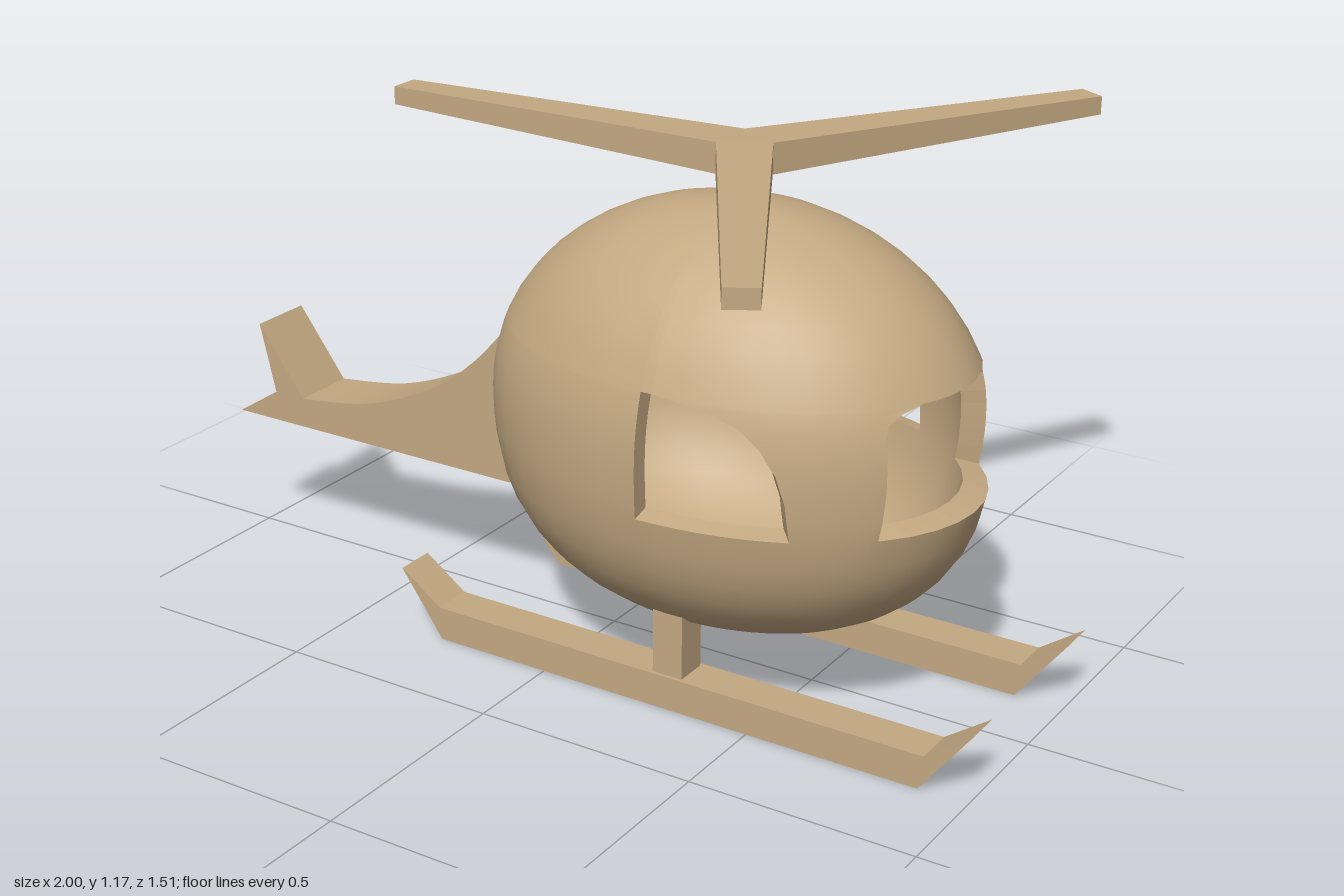
import * as THREE from 'three';

const tan = new THREE.MeshStandardMaterial({ color: 0xc4a982 });
tan.name = 'tan';

const CX = 0.305, CY = 0.59, RX = 0.555, RY = 0.45, RZ = 0.4; // cabin ellipsoid
const INNER = 0.9;        // inner wall scale
const SILL = 0.48, LINTEL = 0.745;

// Horizontal scale of the cabin at height y; the belly is a little fuller than the roof
const bulge = (y) => (y < CY ? 2.5 : 2);
function ringScale(y) {
  const n = bulge(y), t = Math.min(1, Math.abs(y - CY) / RY);
  return Math.pow(1 - Math.pow(t, n), 1 / n);
}

// Piecewise linear lookup in [y, value] pairs
function lookup(table, y) {
  for (let i = 1; i < table.length; i++) {
    const [y0, v0] = table[i - 1], [y1, v1] = table[i];
    if (y <= y1) return v0 + (v1 - v0) * (y - y0) / (y1 - y0);
  }
  return table[table.length - 1][1];
}
// Half width of the windscreen and front edge of the side windows
const screenEdge = [[0.48, 0.225], [0.62, 0.22], [0.69, 0.213], [0.715, 0.203], [0.733, 0.175], [0.745, 0.13]];
const sideEdge = [[0.48, 0.615], [0.56, 0.608], [0.62, 0.59], [0.67, 0.557], [0.705, 0.515], [0.725, 0.465], [0.738, 0.395], [0.745, 0.33]];

// Angles round the cabin for one row, running along the window edges
const COLS = [4, 9, 7, 20, 7, 9, 4];
function rowAngles(y) {
  const w = Math.min(LINTEL, Math.max(SILL, y)), r = ringScale(w);
  const a = Math.asin(lookup(screenEdge, w) / (RZ * r));
  const b = Math.acos((lookup(sideEdge, w) - CX) / (RX * r));
  const c = Math.PI / 2, T = Math.PI * 2;
  const keys = [0, a, b, c, T - c, T - b, T - a, T];
  const out = [];
  COLS.forEach((n, k) => {
    for (let i = 0; i < n; i++) out.push(keys[k] + (keys[k + 1] - keys[k]) * i / n);
  });
  return out;
}
const isWindowColumn = COLS.flatMap((n, k) => Array(n).fill(k % 2 === 0));
for (let j = 20; j < 40; j++) isWindowColumn[j] = false;

function rowHeights() {
  const ys = [], N = 10;
  const lo = Math.asin(Math.pow((CY - SILL) / RY, 1.25));
  const hi = Math.asin((LINTEL - CY) / RY);
  for (let i = 0; i < N; i++) {
    const th = Math.PI / 2 + (lo - Math.PI / 2) * i / N;
    ys.push(CY - RY * Math.pow(Math.sin(th), 0.8));
  }
  ys.push(SILL, 0.52, 0.56, 0.59, 0.62, 0.65, 0.67, 0.69, 0.705, 0.715, 0.725, 0.733, 0.738);
  for (let i = 0; i <= N; i++) ys.push(CY + RY * Math.sin(hi + (Math.PI / 2 - hi) * i / N));
  return ys;
}

// Hollow cabin: outer wall, inner wall and window reveals
function buildCabin() {
  const ys = rowHeights(), M = isWindowColumn.length, R = ys.length;
  const outer = [], inner = [];
  for (const y of ys) {
    const r = ringScale(y);
    for (const p of rowAngles(y)) {
      const d = [RX * r * Math.cos(p), y - CY, RZ * r * Math.sin(p)];
      outer.push(CX + d[0], CY + d[1], d[2]);
      inner.push(CX + d[0] * INNER, CY + d[1] * INNER, d[2] * INNER);
    }
  }
  const id = (i, j) => (i === 0 || i === R - 1 ? i * M : i * M + ((j + M) % M));
  const isHole = (i, j) => isWindowColumn[(j + M) % M] && ys[i] > SILL - 0.001 && ys[i] < LINTEL - 0.001;
  const outIdx = [], inIdx = [], reveal = [];
  const tri = (a, b, c) => {
    if (a === b || b === c || a === c) return;
    outIdx.push(a, b, c);
    inIdx.push(a, c, b);
  };
  const at = (arr, k) => arr.slice(k * 3, k * 3 + 3);
  const rim = (u, v) => {
    const uo = at(outer, u), vo = at(outer, v), ui = at(inner, u), vi = at(inner, v);
    reveal.push(...uo, ...vo, ...vi, ...uo, ...vi, ...ui);
  };
  for (let i = 0; i < R - 1; i++) {
    for (let j = 0; j < M; j++) {
      const bl = id(i, j + 1), br = id(i, j), tr = id(i + 1, j), tl = id(i + 1, j + 1);
      if (!isHole(i, j)) {
        tri(bl, br, tr);
        tri(bl, tr, tl);
        continue;
      }
      if (!isHole(i - 1, j)) rim(bl, br);
      if (!isHole(i, j - 1)) rim(br, tr);
      if (!isHole(i + 1, j)) rim(tr, tl);
      if (!isHole(i, j + 1)) rim(tl, bl);
    }
  }
  const make = (pos, idx) => {
    const g = new THREE.BufferGeometry();
    g.setAttribute('position', new THREE.Float32BufferAttribute(pos, 3));
    if (idx) g.setIndex(idx);
    g.computeVertexNormals();
    return g;
  };
  const cabin = new THREE.Group();
  cabin.name = 'cabin';
  cabin.add(part('cabinOuterWall', make(outer, outIdx)), part('cabinInnerWall', make(inner, inIdx)),
    part('windowReveals', make(reveal)));
  return cabin;
}

function part(name, geometry) {
  const m = new THREE.Mesh(geometry, tan);
  m.name = name;
  return m;
}

function box(name, w, h, d, x, y, z) {
  const m = part(name, new THREE.BoxGeometry(w, h, d));
  m.position.set(x, y, z);
  return m;
}

// Side profile extruded across z, centred on z
function slab(name, shape, width, z) {
  const g = new THREE.ExtrudeGeometry(shape, { depth: width, bevelEnabled: false, curveSegments: 10 });
  g.translate(0, 0, z - width / 2);
  return part(name, g);
}

const points = (list) => list.map(([x, y]) => new THREE.Vector2(x, y));

export function createModel() {
  const model = new THREE.Group();
  model.name = 'helicopter';
  model.add(buildCabin());

  // Tail boom with upright fin, its root buried in the cabin wall
  const tail = new THREE.Shape(points([[-0.13, 0.31], [-0.2, 0.42], [-0.22, 0.5], [-0.215, 0.69]]));
  tail.splineThru(points([[-0.32, 0.575], [-0.44, 0.485], [-0.62, 0.41], [-0.81, 0.38]]));
  for (const [x, y] of [[-0.93, 0.54], [-0.89, 0.38], [-1, 0.31]]) tail.lineTo(x, y);
  tail.closePath();
  model.add(slab('tailBoom', tail, 0.15, 0));

  // Skids and struts
  const skid = new THREE.Shape(points([[-0.27, 0], [0.89, 0], [1, 0.145], [0.9, 0.075], [-0.275, 0.075], [-0.375, 0.145]]));
  for (const [side, z] of [['left', 0.232], ['right', -0.219]]) {
    model.add(slab(side + 'Skid', skid, 0.092, z));
    model.add(box(side + 'Strut', 0.07, 0.155, 0.075, 0.305, 0.1425, z));
  }

  // Rotor: mast, three-sided hub and three tapering blades
  model.add(box('rotorMast', 0.07, 0.11, 0.075, 0.305, 1.055, 0));
  const rotor = new THREE.Group();
  rotor.name = 'rotor';
  rotor.position.set(0.31, 1.133, 0);
  const hub = new THREE.CylinderGeometry(0.066, 0.066, 0.066, 3).toNonIndexed();
  hub.computeVertexNormals();
  hub.rotateY(Math.PI / 2);
  rotor.add(part('rotorHub', hub));
  const blade = new THREE.BoxGeometry(0.822, 1, 1).toNonIndexed();
  blade.translate(0.444, 0, 0);
  const p = blade.attributes.position;
  for (let i = 0; i < p.count; i++) {
    const tip = p.getX(i) > 0.4;
    p.setY(i, p.getY(i) * (tip ? 0.04 : 0.066));
    p.setZ(i, p.getZ(i) * (tip ? 0.068 : 0.114));
  }
  blade.computeVertexNormals();
  for (let k = 0; k < 3; k++) {
    const b = part('rotorBlade' + (k + 1), blade);
    b.rotation.y = Math.PI + k * Math.PI * 2 / 3;
    rotor.add(b);
  }
  model.add(rotor);
  return model;
}
